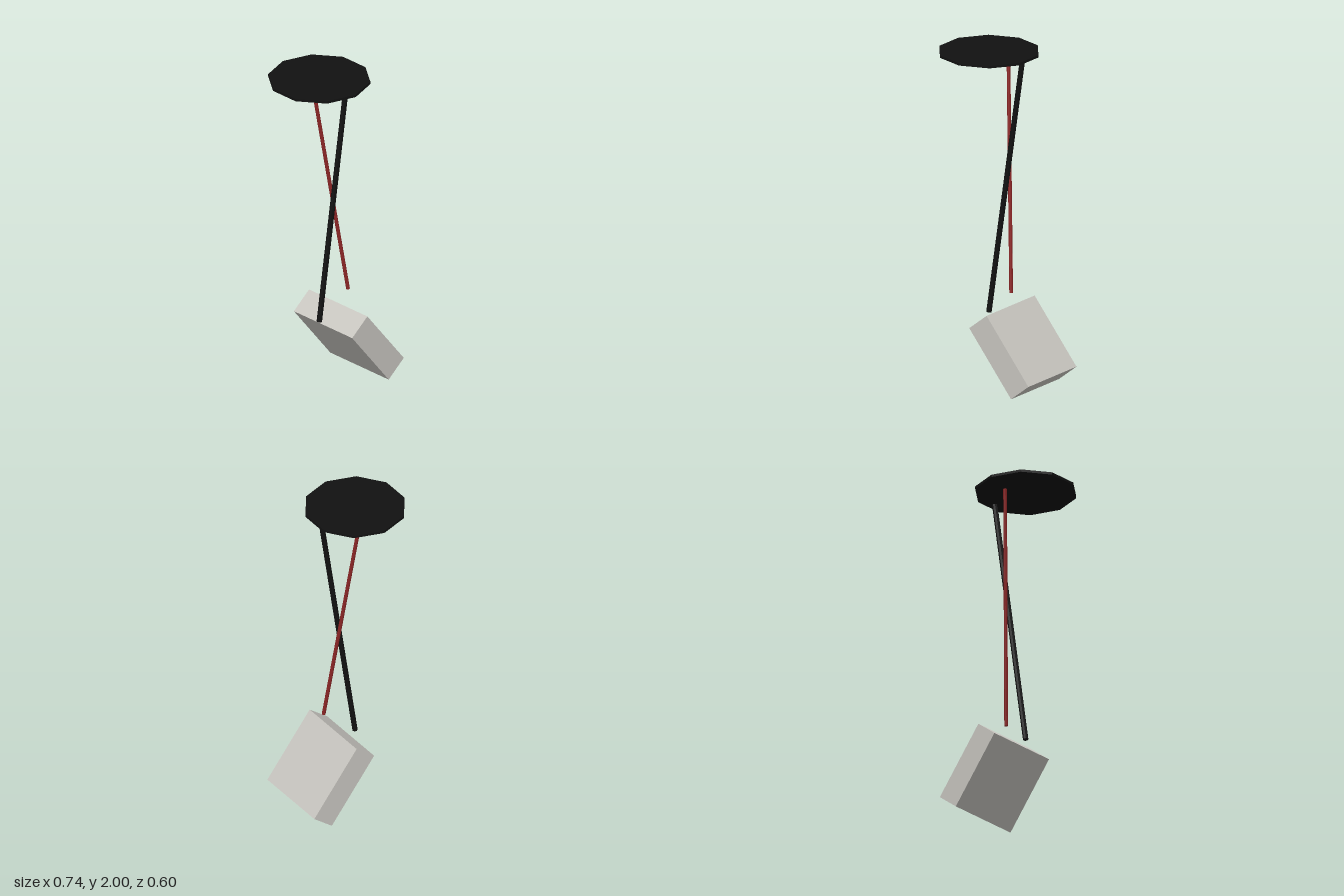
import * as THREE from 'three';

export function createModel() {
  const group = new THREE.Group();
  const mat = (name, color) => {
    const m = new THREE.MeshStandardMaterial({ color, flatShading: true });
    m.name = name;
    return m;
  };
  const black = mat('black', 0x111111);
  const red = mat('dark red', 0x8b2525);
  const stone = mat('pale grey', 0xc8c6c0);

  const add = (name, geometry, material) => {
    const mesh = new THREE.Mesh(geometry, material);
    mesh.name = name;
    group.add(mesh);
    return mesh;
  };

  // Straight rod between two points
  const rod = (name, a, b, radius, material) => {
    const from = new THREE.Vector3(...a);
    const dir = new THREE.Vector3(...b).sub(from);
    const mesh = add(name, new THREE.CylinderGeometry(radius, radius, dir.length(), 8), material);
    mesh.position.copy(from).addScaledVector(dir, 0.5);
    mesh.quaternion.setFromUnitVectors(new THREE.Vector3(0, 1, 0), dir.normalize());
  };

  // Ten-sided top plate
  add('topPlate', new THREE.CylinderGeometry(0.3, 0.3, 0.015, 10), black)
    .position.set(-0.085, 1.9925, 0);

  // Crossing rods under the plate
  rod('blackRod', [-0.085, 0.412, 0], [0.154, 1.99, 0], 0.016, black);
  rod('redRod', [0.105, 0.573, 0.045], [-0.036, 1.99, -0.125], 0.011, red);

  // Tilted block at the bottom
  const block = add('tiltedBlock', new THREE.BoxGeometry(0.157, 0.481, 0.48), stone);
  block.position.set(0.156, 0.239, 0);
  block.rotation.z = THREE.MathUtils.degToRad(38.2);

  return group;
}
